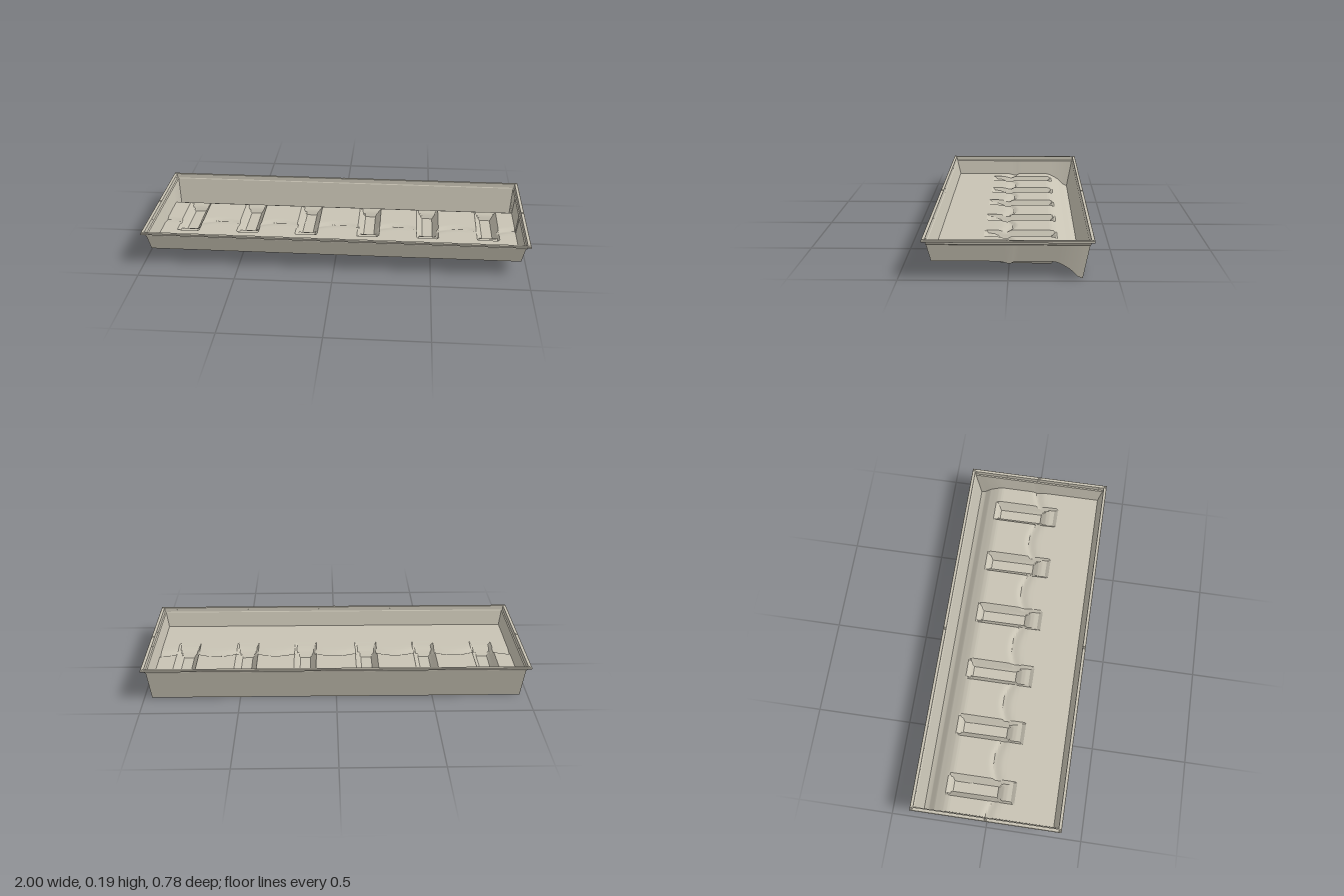
import * as THREE from 'three';
import { toCreasedNormals } from 'three/addons/utils/BufferGeometryUtils.js';

const CHANNELS = [-0.815, -0.49, -0.17, 0.165, 0.485, 0.81];
const HALF_X = 0.96, FRONT_Z = 0.349, BACK_Z = -0.338;

// [z, y] sections: main floor with its rear gutter, and one channel
const FLOOR = [[-0.338, 0.003], [-0.315, 0.013], [-0.28, 0.047], [-0.255, 0.062],
  [-0.235, 0.073], [-0.215, 0.08], [-0.2, 0.082], [0.35, 0.082]];
const CHANNEL = [[-0.24, 0.082], [-0.215, 0.06], [-0.2, 0.036], [-0.19, 0.034],
  [0.035, 0.038], [0.06, 0.058], [0.08, 0.066], [0.11, 0.069], [0.13, 0.083]];

function sample(profile, z) {
  if (z <= profile[0][0]) return profile[0][1];
  for (let i = 1; i < profile.length; i++) {
    const [z0, y0] = profile[i - 1], [z1, y1] = profile[i];
    if (z <= z1) return y0 + (y1 - y0) * (z - z0) / (z1 - z0);
  }
  return profile[profile.length - 1][1];
}

// Height of the moulded floor at any point
function height(x, z) {
  let d = 9;
  for (const c of CHANNELS) if (Math.abs(x - c) < Math.abs(d)) d = x - c;
  const a = Math.abs(d);
  let y = sample(FLOOR, z);
  // scalloped valley: steep behind, soft in front
  const t = z - (-0.012 + 0.045 * Math.exp(-((a / 0.085) ** 2)));
  const width = t > 0 ? 0.032 : 0.012;
  y -= 0.011 * Math.exp(-((t / width) ** 2));
  // channel with sloping sides
  const side = 0.034 + Math.max(0, a - 0.028) * 1.5;
  return Math.min(y, Math.max(sample(CHANNEL, z), side));
}

// Sorted grid lines: even spacing plus the crease positions
function gridLines(min, max, step, extra) {
  const list = [...extra.filter(v => v > min && v < max), max];
  const n = Math.round((max - min) / step);
  for (let i = 0; i < n; i++) list.push(min + (max - min) * i / n);
  list.sort((p, q) => p - q);
  return list.filter((v, i) => i === 0 || v - list[i - 1] > 0.0005);
}

// Surface through rows of points
function loft(rows) {
  const w = rows[0].length, index = [];
  for (let r = 0; r < rows.length - 1; r++) {
    for (let c = 0; c < w - 1; c++) {
      const p = r * w + c;
      index.push(p, p + w, p + 1, p + 1, p + w, p + w + 1);
    }
  }
  const geo = new THREE.BufferGeometry();
  geo.setAttribute('position', new THREE.Float32BufferAttribute(rows.flat(2), 3));
  geo.setIndex(index);
  return toCreasedNormals(geo, 0.45);
}

export function createModel() {
  const group = new THREE.Group();
  const plastic = new THREE.MeshStandardMaterial({ color: 0xc8c3b4, side: THREE.DoubleSide });
  plastic.name = 'warm grey plastic';
  const add = (name, geo) => {
    const mesh = new THREE.Mesh(geo, plastic);
    mesh.name = name;
    group.add(mesh);
    return mesh;
  };

  // Moulded floor with channels and rear gutter
  const edges = CHANNELS.flatMap(c => [-0.06, -0.044, -0.028, 0.028, 0.044, 0.06].map(o => c + o));
  const xs = gridLines(-HALF_X, HALF_X, 0.0125, edges);
  const zs = gridLines(BACK_Z, FRONT_Z, 0.01, [...FLOOR, ...CHANNEL].map(p => p[0]));
  const rows = zs.map(z => xs.map(x => [x, height(x, z), z]));
  add('floor', loft(rows));

  // Tapered walls rising from the floor border
  const TOP_X = 0.975, TOP_Z = 0.369, TOP_Y = 0.163;
  const raise = ([x, , z]) => [x / HALF_X * TOP_X, TOP_Y,
    -TOP_Z + 2 * TOP_Z * (z - BACK_Z) / (FRONT_Z - BACK_Z)];
  const wall = (name, base) => add(name, loft([base.map(raise), base]));
  wall('frontWall', rows[rows.length - 1]);
  wall('backWall', [...rows[0]].reverse());
  wall('leftWall', rows.map(r => r[r.length - 1]).reverse());
  wall('rightWall', rows.map(r => r[0]));

  // Stepped rim: [half width, half depth, y] from underside to wall top
  const steps = [[0.982, 0.373, 0.179], [0.998, 0.388, 0.179], [1, 0.39, 0.182],
    [1, 0.39, 0.188], [0.998, 0.388, 0.19], [0.983, 0.374, 0.19],
    [0.981, 0.372, 0.167], [TOP_X, TOP_Z, TOP_Y]];
  add('rim', loft(steps.map(([x, z, y]) =>
    [[x, y, z], [x, y, -z], [-x, y, -z], [-x, y, z], [x, y, z]])));

  // Small stacking pips on the rim
  const pip = new THREE.CylinderGeometry(0.004, 0.008, 0.003, 12);
  for (const x of [-0.991, 0, 0.991]) {
    for (const z of [-0.382, 0, 0.382]) {
      if (x === 0 && z === 0) continue;
      add('rimPip', pip).position.set(x, 0.191, z);
    }
  }
  return group;
}
